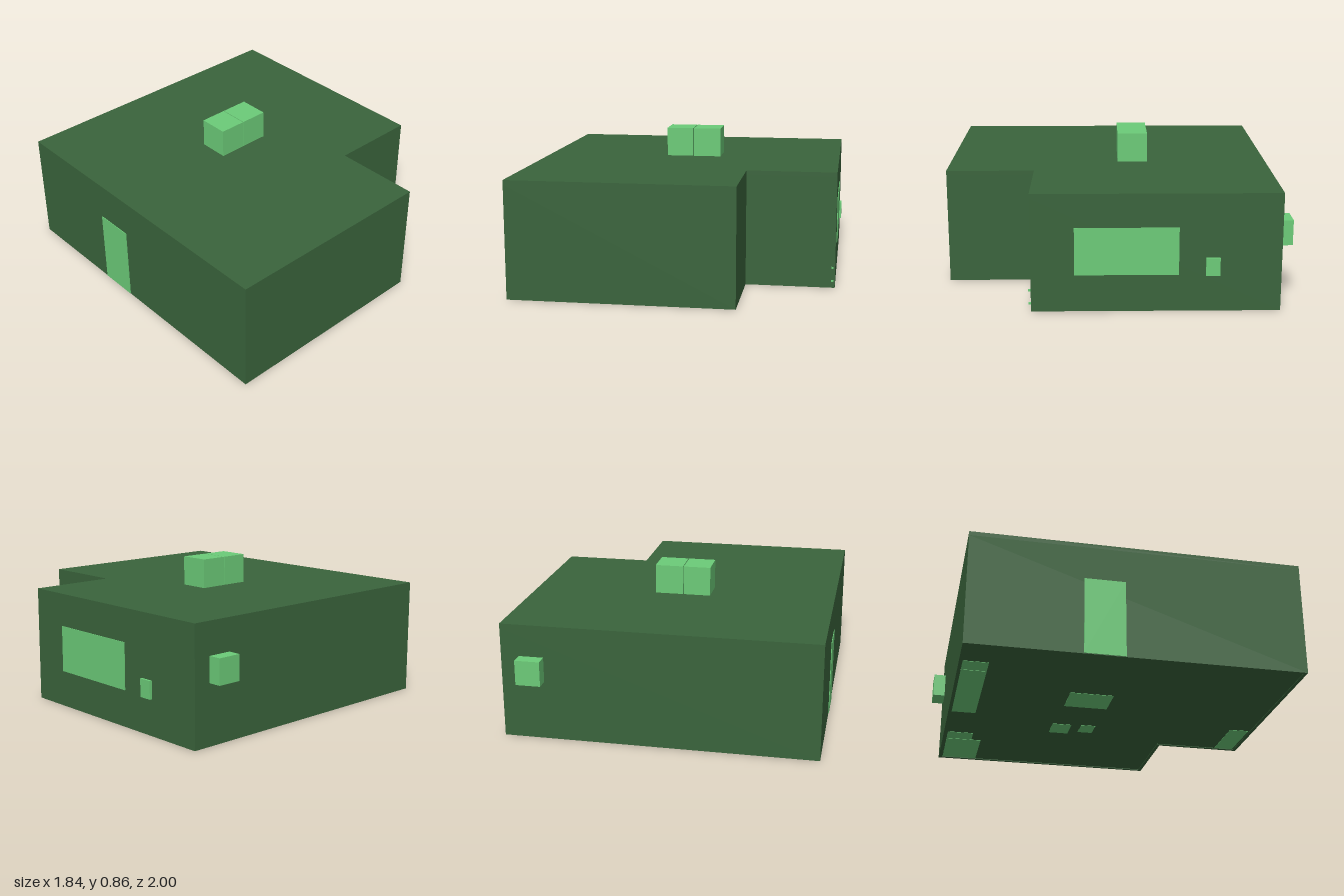
import * as THREE from 'three';

const dark = new THREE.MeshStandardMaterial({ color: 0x3a643c });
const light = new THREE.MeshStandardMaterial({ color: 0x6ccb78 });

// L-shaped floor plan, shrunk inwards by d (shape y is -z)
function plan(d, Type = THREE.Shape) {
  const p = [
    [-0.92 + d, 0.925 - d], [-0.92 + d, -1 + d], [0.38 - d, -1 + d],
    [0.38 - d, -0.48 + d], [0.905 - d, -0.48 + d], [0.905 - d, 0.925 - d],
  ];
  return new Type(p.map(([x, y]) => new THREE.Vector2(x, y)));
}

// Extrude a plan upwards from y0 to y1
function slab(name, shape, y0, y1) {
  const geo = new THREE.ExtrudeGeometry(shape, { depth: y1 - y0, bevelEnabled: false });
  geo.rotateX(-Math.PI / 2);
  geo.translate(0, y0, 0);
  const mesh = new THREE.Mesh(geo, dark);
  mesh.name = name;
  return mesh;
}

// Box given by its extents
function box(name, x0, x1, y0, y1, z0, z1) {
  const mesh = new THREE.Mesh(new THREE.BoxGeometry(x1 - x0, y1 - y0, z1 - z0), light);
  mesh.position.set((x0 + x1) / 2, (y0 + y1) / 2, (z0 + z1) / 2);
  mesh.name = name;
  return mesh;
}

export function createModel() {
  const house = new THREE.Group();
  house.name = 'house';

  // Shell: walls, floor and flat roof
  const ring = plan(0);
  ring.holes.push(plan(0.02, THREE.Path));
  house.add(slab('walls', ring, 0, 0.66));
  house.add(slab('floor', plan(0.02), 0.004, 0.012));
  house.add(slab('roof', plan(0), 0.66, 0.685));

  // Pair of rooftop units
  house.add(box('roofUnitLeft', -0.005, 0.163, 0.685, 0.86, -0.2, -0.02));
  house.add(box('roofUnitRight', -0.173, -0.01, 0.685, 0.86, -0.2, -0.02));

  // Fittings on the outer walls
  house.add(box('window', 0.89, 0.909, 0.215, 0.49, -0.35, 0.235));
  house.add(box('meterBox', 0.89, 0.92, 0.21, 0.315, -0.58, -0.5));
  house.add(box('airConditioner', 0.655, 0.8, 0.35, 0.497, -1, -0.92));
  house.add(box('door', -0.924, -0.9, 0.003, 0.46, -0.275, -0.04));
  for (const y of [0.043, 0.122]) {
    house.add(box('wallTap', 0.884, 0.896, y - 0.005, y + 0.005, 0.47, 0.495));
  }

  // Furniture whose feet show through the floor: x0, x1, z0, z1, height
  const furniture = [
    ['bed', 0.53, 0.88, -0.9, -0.68, 0.15],
    ['nightstand', 0.41, 0.525, -0.9, -0.74, 0.12],
    ['counterLong', -0.57, 0.06, -0.905, -0.76, 0.25],
    ['counterShort', -0.69, -0.575, -0.905, -0.76, 0.25],
    ['table', -0.37, -0.16, -0.25, 0.01, 0.2],
    ['armchair', 0.14, 0.29, -0.27, -0.15, 0.15],
    ['stool', 0.13, 0.25, -0.09, 0, 0.12],
    ['cabinet', 0.02, 0.355, 0.85, 0.97, 0.25],
  ];
  for (const [name, x0, x1, z0, z1, h] of furniture) {
    house.add(box(name, x0, x1, 0.002, h, z0, z1));
  }
  return house;
}
